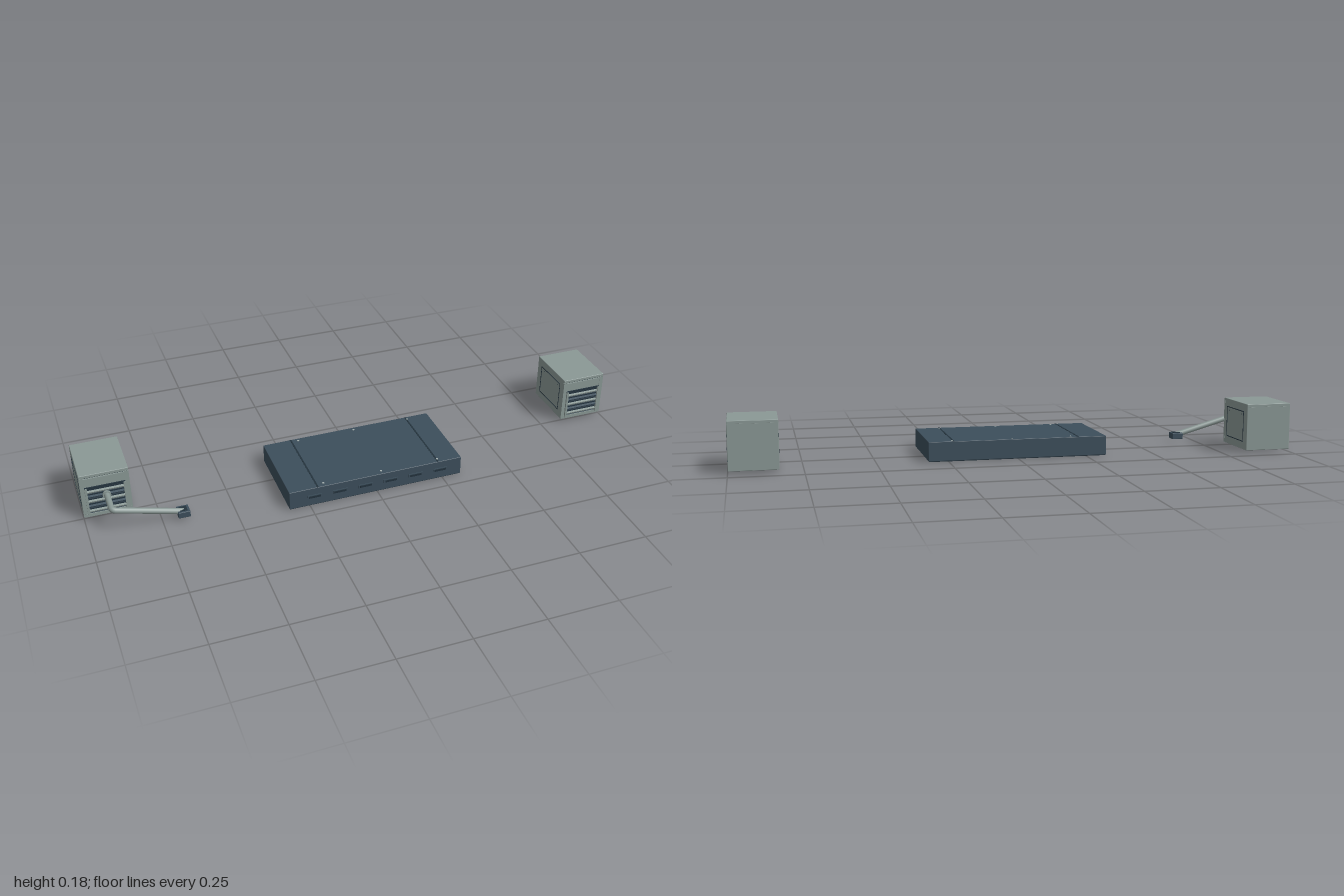
import * as THREE from 'three';
import { RoundedBoxGeometry } from 'three/addons/geometries/RoundedBoxGeometry.js';

export function createModel() {
  const root = new THREE.Group();
  root.name = 'equipmentSet';

  const mat = (name, color) => {
    const m = new THREE.MeshStandardMaterial({ color });
    m.name = name;
    return m;
  };
  const grey = mat('cabinet grey', 0x8a9895);
  const navy = mat('slate blue', 0x3c4e5b);
  const dark = mat('dark seam', 0x24333d);
  const pale = mat('fastener grey', 0xa3afae);

  const add = (parent, name, geometry, material, x = 0, y = 0, z = 0) => {
    const mesh = new THREE.Mesh(geometry, material);
    mesh.name = name;
    mesh.position.set(x, y, z);
    parent.add(mesh);
    return mesh;
  };
  // Box given by its low and high limits on each axis
  const span = (parent, name, material, x0, x1, y0, y1, z0, z1, r = 0) => {
    const size = [x1 - x0, y1 - y0, z1 - z0];
    const g = r ? new RoundedBoxGeometry(...size, 2, r) : new THREE.BoxGeometry(...size);
    return add(parent, name, g, material, (x0 + x1) / 2, (y0 + y1) / 2, (z0 + z1) / 2);
  };

  // Low slab housing with seams, fasteners and front slots
  const slab = new THREE.Group();
  slab.name = 'slabHousing';
  root.add(slab);
  span(slab, 'slabBody', navy, -0.324, 0.321, 0.002, 0.071, -0.122, 0.196, 0.002);
  span(slab, 'slabBase', dark, -0.321, 0.318, 0, 0.003, -0.119, 0.193);
  for (const x of [-0.22, 0.232]) {
    span(slab, 'topSeam', dark, x - 0.003, x + 0.003, 0.07, 0.0716, -0.121, 0.195);
  }
  for (const x of [-0.195, 0.02, 0.235]) {
    for (const z of [-0.107, 0.178]) {
      add(slab, 'topFastener', new THREE.CylinderGeometry(0.004, 0.004, 0.002, 12), pale, x, 0.0715, z);
    }
  }
  for (let i = 0; i < 6; i++) {
    const x = -0.233 + i * 0.0945;
    span(slab, 'frontSlotFrame', navy, x - 0.027, x + 0.027, 0.03, 0.044, 0.195, 0.199);
    span(slab, 'frontSlot', dark, x - 0.022, x + 0.022, 0.033, 0.041, 0.198, 0.2);
  }

  // Cabinet with louvred front and a framed panel on each side
  const makeCabinet = (name, cx) => {
    const cab = new THREE.Group();
    cab.name = name;
    cab.position.x = cx;
    root.add(cab);
    const w = 0.085;
    span(cab, 'shell', grey, -w + 0.001, w - 0.001, 0.01, 0.17, -0.199, 0.002, 0.002);
    span(cab, 'lid', grey, -w + 0.001, w - 0.001, 0.167, 0.179, -0.199, 0.008, 0.002);
    span(cab, 'lidSeam', dark, -0.08, 0.08, 0.164, 0.167, 0.001, 0.003);
    span(cab, 'headerPanel', grey, -0.078, 0.078, 0.13, 0.163, 0.001, 0.007);
    span(cab, 'grilleBack', navy, -0.068, 0.068, 0.017, 0.127, 0.001, 0.006);
    span(cab, 'grilleTopRail', dark, -0.07, 0.07, 0.123, 0.129, 0.001, 0.01);
    span(cab, 'sill', grey, -0.078, 0.078, 0.01, 0.022, 0.001, 0.009);
    for (const s of [-1, 1]) {
      const post = 0.0765 * s;
      span(cab, 'frontPost', grey, post - 0.0075, post + 0.0075, 0.01, 0.167, 0.001, 0.008);
      span(cab, 'grilleStile', grey, 0.066 * s - 0.004, 0.066 * s + 0.004, 0.017, 0.127, 0.004, 0.014);
      // Side frame and its two rivets
      const x = 0.0845 * s, t = 0.0005;
      for (const y of [0.039, 0.149]) {
        span(cab, 'sidePanelRail', dark, x - t, x + t, y - 0.0015, y + 0.0015, -0.169, -0.021);
      }
      for (const z of [-0.168, -0.022]) {
        span(cab, 'sidePanelStile', dark, x - t, x + t, 0.039, 0.149, z - 0.0015, z + 0.0015);
      }
      for (const z of [-0.148, -0.042]) {
        span(cab, 'sideRivet', dark, x - t, x + t, 0.1355, 0.1385, z - 0.002, z + 0.002);
      }
    }
    // Tilted louvre slats
    for (let i = 0; i < 5; i++) {
      const y = 0.033 + i * 0.0195;
      const slat = span(cab, 'louvreSlat', i % 2 ? navy : grey, -0.063, 0.063, y - 0.003, y + 0.003, 0.003, 0.013);
      slat.rotation.x = 0.35;
      span(cab, 'louvreShadow', dark, -0.063, 0.063, y + 0.005, y + 0.009, 0.005, 0.007);
    }
  };
  makeCabinet('rightCabinet', -0.915);
  makeCabinet('leftCabinet', 0.915);

  // Bent pipe from the right cabinet to a small end block
  const arm = new THREE.Group();
  arm.name = 'pipeArm';
  root.add(arm);
  const V = (x, y, z) => new THREE.Vector3(x, y, z);
  const path = new THREE.CurvePath();
  path.add(new THREE.LineCurve3(V(-0.914, 0.093, 0.004), V(-0.914, 0.093, 0.1)));
  path.add(new THREE.QuadraticBezierCurve3(V(-0.914, 0.093, 0.1), V(-0.914, 0.093, 0.113), V(-0.901, 0.0895, 0.113)));
  path.add(new THREE.LineCurve3(V(-0.901, 0.0895, 0.113), V(-0.675, 0.026, 0.109)));
  add(arm, 'pipe', new THREE.TubeGeometry(path, 80, 0.0105, 16), grey);
  const flange = add(arm, 'pipeFlange', new THREE.CylinderGeometry(0.0145, 0.0145, 0.008, 20), grey, -0.914, 0.093, 0.017);
  flange.rotation.x = Math.PI / 2;
  const end = new THREE.Group();
  end.name = 'endBlock';
  end.position.set(-0.677, 0.024, 0.108);
  arm.add(end);
  span(end, 'endBody', navy, -0.021, 0.021, -0.012, 0.011, -0.021, 0.021, 0.002);
  span(end, 'endCap', dark, -0.013, 0.013, 0.0105, 0.0125, -0.013, 0.013);

  return root;
}
